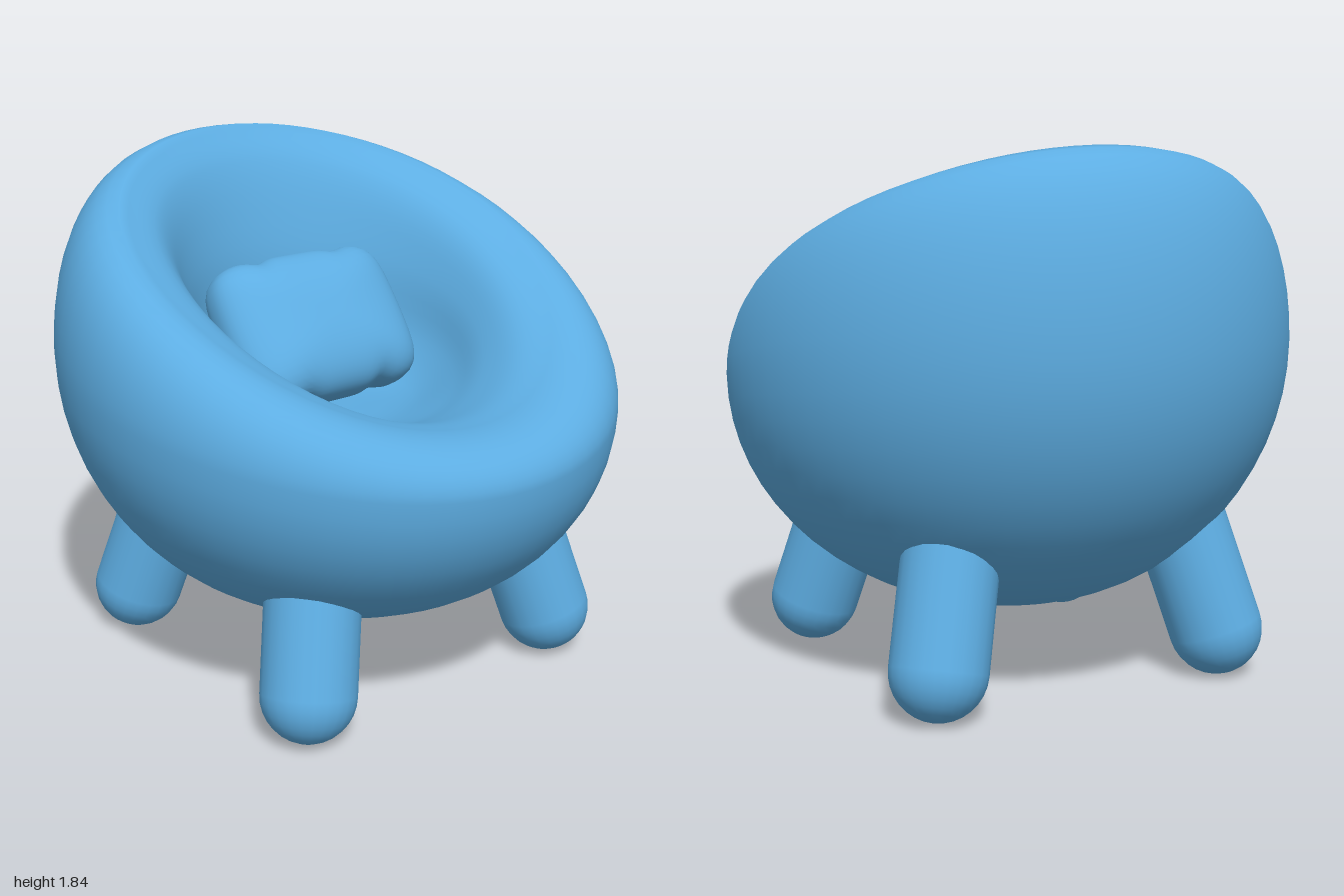
import * as THREE from 'three';
import { mergeVertices } from 'three/addons/utils/BufferGeometryUtils.js';

const blue = new THREE.MeshStandardMaterial({ color: 0x5dade2 });
blue.name = 'soft blue';

const FLOOR = 0.9, BOTTOM = 0.23;

// Inside of the shell as [radius, share of the rim height above the seat]
const FRONT_INSIDE = [[0.65, 0.92], [0.52, 0.68], [0.38, 0.36], [0.2, 0.08], [0, 0]];
const BACK_INSIDE = [[0.61, 0.86], [0.525, 0.55], [0.48, 0.22], [0.36, 0.03], [0, 0]];

// Radial section of the shell at one angle: c = 1 at the front, -1 at the back
function shellSection(c) {
  const sideways = 1 - c * c;
  const widest = 1.06 - 0.15 * c + 0.06 * sideways;
  const crestY = 1.455 - 0.395 * c + 0.06 * sideways;
  const crestR = 0.74 + 0.04 * c + 0.04 * sideways;
  const points = [];
  // round underside
  for (let i = 0; i < 16; i++) {
    const t = (i / 16) * Math.PI / 2;
    points.push([Math.sin(t) ** 0.94, widest - (widest - BOTTOM) * Math.cos(t)]);
  }
  // outside of the padded rim, up to the crest
  for (let i = 0; i < 10; i++) {
    const t = (i / 10) * Math.PI / 2;
    points.push([crestR + (1 - crestR) * Math.cos(t) ** 0.93, widest + (crestY - widest) * Math.sin(t)]);
  }
  // inside of the rim: a steep wall at the back, a gentle slope at the front
  const steep = 1 - ((1 + c) / 2) ** 2;
  const inner = [new THREE.Vector3(crestR, crestY, 0)];
  FRONT_INSIDE.forEach(([r, s], i) => {
    const [backR, backS] = BACK_INSIDE[i];
    const share = THREE.MathUtils.lerp(s, backS, steep);
    inner.push(new THREE.Vector3(THREE.MathUtils.lerp(r, backR, steep), FLOOR + share * (crestY - FLOOR), 0));
  });
  new THREE.CatmullRomCurve3(inner).getPoints(25)
    .forEach((p) => points.push([Math.max(p.x, 0), p.y]));
  return points;
}

function shellGeometry(sides = 64) {
  const positions = [], index = [];
  let rows = 0;
  for (let j = 0; j < sides; j++) {
    const a = (j / sides) * Math.PI * 2;
    const section = shellSection(Math.cos(a));
    rows = section.length;
    section.forEach(([r, y]) => positions.push(r * Math.sin(a), y, r * Math.cos(a)));
  }
  for (let j = 0; j < sides; j++) {
    const k = (j + 1) % sides;
    for (let i = 0; i < rows - 1; i++) {
      const a = j * rows + i, b = k * rows + i;
      index.push(a, b, b + 1, a, b + 1, a + 1);
    }
  }
  const g = new THREE.BufferGeometry();
  g.setAttribute('position', new THREE.Float32BufferAttribute(positions, 3));
  g.setIndex(index);
  g.computeVertexNormals();
  return g;
}

// Sphere pushed out to a puffy square with slightly gathered edges
function cushionGeometry() {
  let g = new THREE.SphereGeometry(1, 56, 36);
  g.deleteAttribute('uv');
  g.deleteAttribute('normal');
  g = mergeVertices(g, 1e-5);
  const p = g.attributes.position;
  for (let i = 0; i < p.count; i++) {
    let x = p.getX(i), y = p.getY(i), z = p.getZ(i);
    const flat = Math.pow(x ** 6 + y ** 6, 1 / 6);
    const n = Math.pow(flat ** 2.5 + Math.abs(z) ** 2.5, 1 / 2.5);
    x /= n; y /= n; z /= n;
    const gather = 1 - 0.07 * Math.exp(-(((Math.abs(x) - 0.46) / 0.12) ** 2)) * y * y;
    const taper = 1 - 0.05 * y * y;
    p.setXYZ(i, x * 0.38 * taper, y * 0.28 * gather, z * 0.165);
  }
  g.computeVertexNormals();
  return g;
}

export function createModel() {
  const chair = new THREE.Group();
  chair.name = 'bowlChair';
  const add = (geometry, name) => {
    const mesh = new THREE.Mesh(geometry, blue);
    mesh.name = name;
    chair.add(mesh);
    return mesh;
  };

  add(shellGeometry(), 'shell');

  const cushion = add(cushionGeometry(), 'cushion');
  cushion.position.set(0, 1.18, -0.155);
  cushion.rotation.x = -0.66;

  // Splayed legs with round feet
  const legGeometry = new THREE.CapsuleGeometry(0.165, 0.42, 8, 24).translate(0, 0.21, 0);
  const up = new THREE.Vector3(0, 1, 0);
  for (const [sz, end] of [[1, 'front'], [-1, 'back']]) {
    for (const [sx, side] of [[1, 'Left'], [-1, 'Right']]) {
      const leg = add(legGeometry, `${end}${side}Leg`);
      leg.position.set(sx * 0.545, 0.17, sz * 0.545);
      leg.quaternion.setFromUnitVectors(up, new THREE.Vector3(-sx * 0.25, 1, -sz * 0.25).normalize());
    }
  }
  return chair;
}
